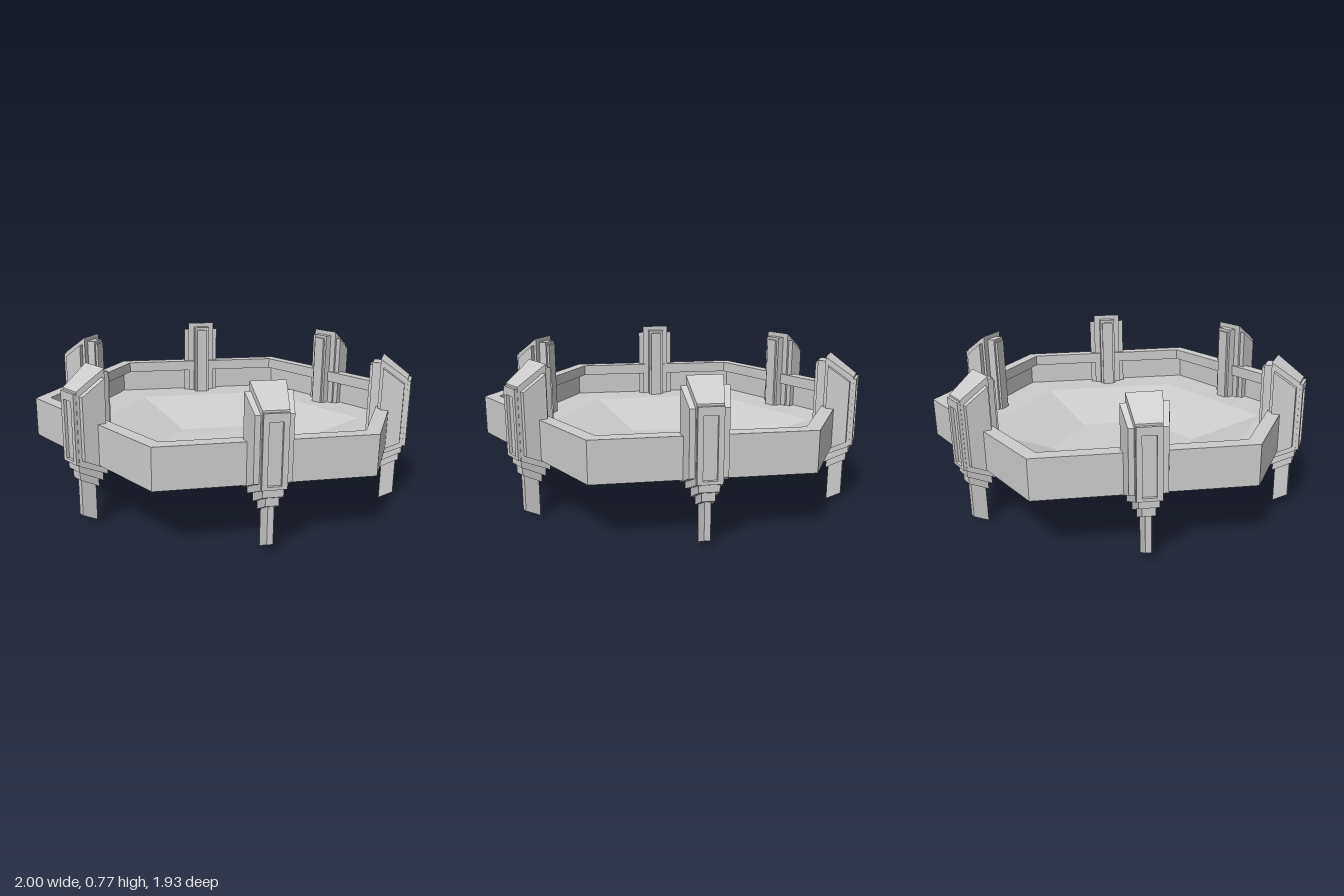
import * as THREE from 'three';

const material = new THREE.MeshStandardMaterial({ color: 0xcccccc, flatShading: true });
const sheetMaterial = new THREE.MeshStandardMaterial({ color: 0xcccccc, flatShading: true, side: THREE.DoubleSide });

// Prism from a side outline of [z, y] points; half width runs from wIn (inner z) to wOut (outer z)
function prism(name, outline, wIn, wOut) {
  const shape = new THREE.Shape(outline.map(([z, y]) => new THREE.Vector2(z, y)));
  const geo = new THREE.ExtrudeGeometry(shape, { depth: 2, bevelEnabled: false });
  geo.translate(0, 0, -1);
  geo.rotateY(-Math.PI / 2);
  const zs = outline.map((p) => p[0]);
  const z0 = Math.min(...zs), z1 = Math.max(...zs);
  const pos = geo.attributes.position;
  for (let i = 0; i < pos.count; i++) {
    const t = (pos.getZ(i) - z0) / (z1 - z0);
    pos.setX(i, pos.getX(i) * THREE.MathUtils.lerp(wIn, wOut, t));
  }
  geo.computeVertexNormals();
  const mesh = new THREE.Mesh(geo, material);
  mesh.name = name;
  return mesh;
}

// Thin hexagonal tray with a sunken floor and an overhanging lip inside the rim
function createBasin() {
  const profile = [
    [0, 0.195], [0.39, 0.195], [0.775, 0.317], [1, 0.317], [1, 0.512],
    [0.925, 0.512], [0.925, 0.452], [0.998, 0.452],
  ].map(([r, y]) => new THREE.Vector2(r, y));
  const basin = new THREE.Mesh(new THREE.LatheGeometry(profile, 6, Math.PI / 6), sheetMaterial);
  basin.name = 'basin';
  return basin;
}

// Outer frame around the recessed slot of a pillar
function createSlotFrame() {
  const rect = (w, y0, y1) => [[-w, y0], [w, y0], [w, y1], [-w, y1]].map(([x, y]) => new THREE.Vector2(x, y));
  const shape = new THREE.Shape(rect(0.056, 0.325, 0.658));
  shape.holes.push(new THREE.Path(rect(0.031, 0.34, 0.62)));
  const geo = new THREE.ExtrudeGeometry(shape, { depth: 0.014, bevelEnabled: false });
  geo.translate(0, 0, 0.946);
  const frame = new THREE.Mesh(geo, material);
  frame.name = 'slotFrame';
  return frame;
}

// Pillar clamped over the rim, with its stepped collar and leg
function createPillar() {
  const pillar = new THREE.Group();
  pillar.name = 'pillar';
  pillar.add(
    prism('pillarBody', [[0.812, 0.257], [0.946, 0.319], [0.946, 0.667], [0.812, 0.76]], 0.08, 0.058),
    prism('sidePlates', [[0.828, 0.295], [0.932, 0.345], [0.932, 0.645], [0.828, 0.72]], 0.106, 0.085),
    createSlotFrame(),
    prism('innerBlock', [[0.77, 0.305], [0.815, 0.305], [0.815, 0.735], [0.77, 0.735]], 0.045, 0.045),
    prism('innerRidge', [[0.757, 0.31], [0.78, 0.31], [0.78, 0.72], [0.757, 0.72]], 0.032, 0.032),
    prism('upperCollar', [[0.825, 0.222], [0.942, 0.285], [0.942, 0.33], [0.825, 0.33]], 0.058, 0.046),
    prism('lowerCollar', [[0.838, 0.19], [0.93, 0.24], [0.93, 0.3], [0.838, 0.3]], 0.04, 0.03),
    prism('leg', [[0.848, 0.018], [0.916, 0.053], [0.916, 0.27], [0.848, 0.27]], 0.028, 0.014),
  );
  return pillar;
}

export function createModel() {
  const model = new THREE.Group();
  model.name = 'hexagonalBasin';
  const tilted = new THREE.Group();
  tilted.name = 'tiltedAssembly';
  tilted.add(createBasin());

  // One pillar at the middle of each side
  for (let i = 0; i < 6; i++) {
    const pillar = createPillar();
    pillar.rotation.y = (i * Math.PI) / 3;
    tilted.add(pillar);
  }

  // The whole piece leans back by one degree
  tilted.rotation.x = -Math.PI / 180;
  tilted.position.z = 0.007;
  model.add(tilted);
  return model;
}
